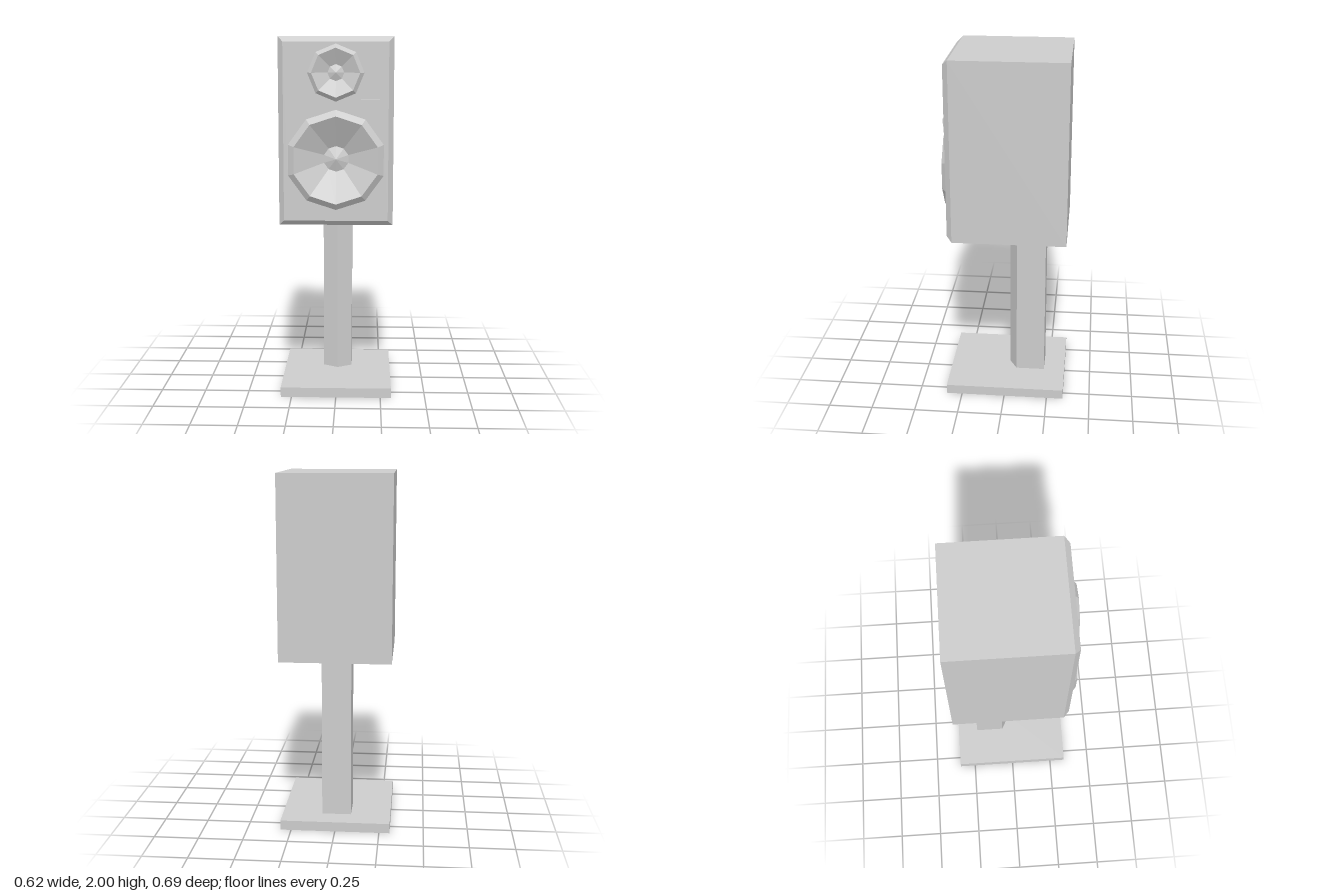
import * as THREE from 'three';

const V2 = (x, y) => new THREE.Vector2(x, y);

// Gives each face its own normal, for crisp low-poly edges
function faceted(geometry) {
  const flat = geometry.index ? geometry.toNonIndexed() : geometry;
  flat.computeVertexNormals();
  return flat;
}

function rectangle(halfWidth, bottom, top) {
  return [V2(-halfWidth, bottom), V2(halfWidth, bottom), V2(halfWidth, top), V2(-halfWidth, top)];
}

// Joins rectangular sections [points, z] from back to front
function loft(sections) {
  const positions = [];
  for (let s = 0; s < sections.length - 1; s++) {
    const [back, zb] = sections[s];
    const [front, zf] = sections[s + 1];
    for (let i = 0; i < back.length; i++) {
      const j = (i + 1) % back.length;
      const a = [back[i].x, back[i].y, zb], b = [back[j].x, back[j].y, zb];
      const c = [front[j].x, front[j].y, zf], d = [front[i].x, front[i].y, zf];
      positions.push(...a, ...b, ...c, ...a, ...c, ...d);
    }
  }
  const geometry = new THREE.BufferGeometry();
  geometry.setAttribute('position', new THREE.Float32BufferAttribute(positions, 3));
  return faceted(geometry);
}

export function createModel() {
  const model = new THREE.Group();
  model.name = 'speakerOnStand';
  const grey = new THREE.MeshStandardMaterial({ color: 0xcccccc });
  grey.name = 'light grey';

  const add = (name, geometry, x = 0, y = 0, z = 0) => {
    const mesh = new THREE.Mesh(geometry, grey);
    mesh.name = name;
    mesh.position.set(x, y, z);
    model.add(mesh);
  };

  // Each driver profile runs from outer rim, over the ring, down the cone to the cap tip: [radius, z]
  const drivers = [
    { name: 'woofer', y: 1.34, sides: 10, profile: [[0.272, 0.32], [0.238, 0.347], [0.07, 0.255], [0, 0.28]] },
    { name: 'tweeter', y: 1.808, sides: 8, profile: [[0.153, 0.32], [0.131, 0.338], [0.045, 0.298], [0, 0.315]] },
  ];

  // Stand: base plate and five-sided column with a ridge at the front
  add('basePlate', new THREE.BoxGeometry(0.62, 0.055, 0.685), 0, 0.0275, -0.0025);
  const plan = new THREE.Shape([
    V2(-0.083, 0.055), V2(0, 0.01), V2(0.083, 0.055), V2(0.083, 0.222), V2(-0.083, 0.222),
  ]);
  const column = new THREE.ExtrudeGeometry(plan, { depth: 0.925, bevelEnabled: false });
  add('column', column.rotateX(-Math.PI / 2), 0, 0.055, 0);

  // Cabinet shell with chamfered front edge
  const outer = rectangle(0.311, 0.98, 2);
  const inner = rectangle(0.283, 1.008, 1.972);
  add('cabinet', loft([[outer, -0.345], [outer, 0.29], [inner, 0.32]]));
  const back = new THREE.ShapeGeometry(new THREE.Shape(outer));
  add('cabinetBack', back.rotateY(Math.PI), 0, 0, -0.345);

  // Front panel with an opening for each driver
  const panel = new THREE.Shape(inner);
  for (const { y, sides, profile } of drivers) {
    const hole = [];
    for (let i = 0; i < sides; i++) {
      const a = (i / sides) * Math.PI * 2;
      hole.push(V2(Math.sin(a) * profile[0][0], y - Math.cos(a) * profile[0][0]));
    }
    panel.holes.push(new THREE.Path(hole));
  }
  add('frontPanel', new THREE.ShapeGeometry(panel), 0, 0, 0.32);

  // Drivers: raised ring, sunken cone and pointed cap
  for (const { name, y, sides, profile } of drivers) {
    const lathe = new THREE.LatheGeometry(profile.map(([r, z]) => V2(r, z)), sides);
    add(name, faceted(lathe.rotateX(Math.PI / 2)), 0, y, 0);
  }

  // Small blank badge
  add('badge', new THREE.BoxGeometry(0.1, 0.043, 0.012), 0.185, 1.647, 0.326);

  return model;
}
